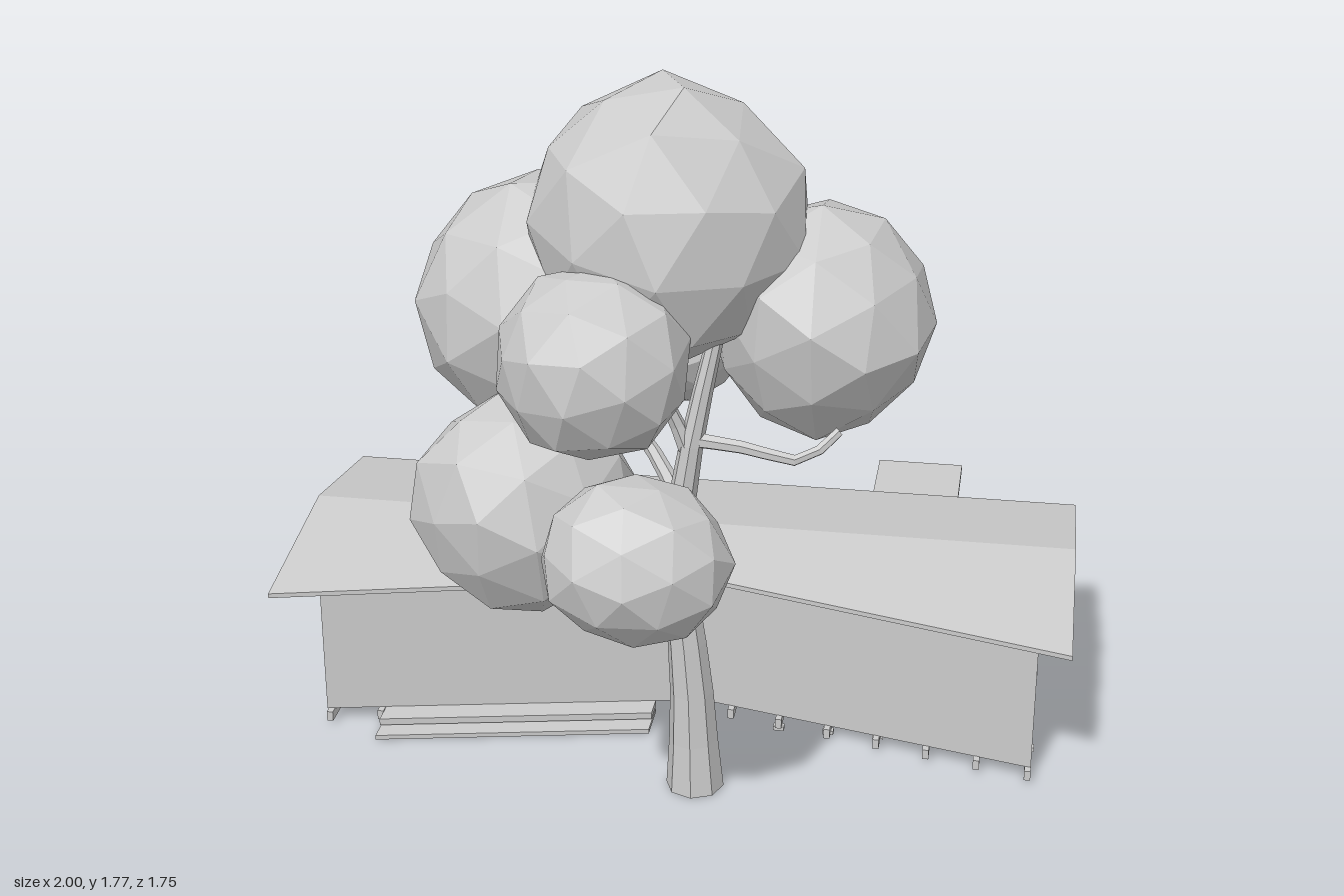
import * as THREE from 'three';

const grey = new THREE.MeshStandardMaterial({ color: 0xcccccc, flatShading: true });
const greyOpen = new THREE.MeshStandardMaterial({ color: 0xcccccc, flatShading: true, side: THREE.DoubleSide });

const FOLD = 0.06; // x where the front of the house bends inward
const wallFront = x => x < FOLD
  ? THREE.MathUtils.mapLinear(x, -0.9, FOLD, 0.165, -0.035)
  : THREE.MathUtils.mapLinear(x, FOLD, 0.92, -0.035, 0.165);

function add(parent, name, geometry, material = grey) {
  const mesh = new THREE.Mesh(geometry, material);
  mesh.name = name;
  parent.add(mesh);
  return mesh;
}

// Box given by its limits on each axis
function box(parent, name, [x0, x1], [y0, y1], [z0, z1]) {
  const m = add(parent, name, new THREE.BoxGeometry(x1 - x0, y1 - y0, z1 - z0));
  m.position.set((x0 + x1) / 2, (y0 + y1) / 2, (z0 + z1) / 2);
  return m;
}

// Upright prism over a plan outline of [x, z] points
function prism(parent, name, plan, y0, y1) {
  const shape = new THREE.Shape(plan.map(([x, z]) => new THREE.Vector2(x, -z)));
  const g = new THREE.ExtrudeGeometry(shape, { depth: y1 - y0, bevelEnabled: false });
  g.rotateX(-Math.PI / 2).translate(0, y0, 0);
  return add(parent, name, g);
}

// Gable roof lofted through three cross-sections along x
function roofGeometry() {
  const section = (x, frontZ, frontY) => [
    [frontZ, frontY], [-0.17, 0.485], [-0.58, 0.418], [-0.58, 0.406],
    [-0.36, 0.44], [Math.min(0.02, frontZ - 0.03), 0.44], [frontZ, frontY - 0.012],
  ].map(([z, y]) => [x, y, z]);
  const s = [section(-1, 0.27, 0.416), section(FOLD, 0.065, 0.448), section(1, 0.27, 0.416)];
  const n = s[0].length, pos = [];
  const tri = (...p) => p.forEach(v => pos.push(...v));
  for (let k = 0; k < 2; k++) {
    for (let i = 0; i < n; i++) {
      const j = (i + 1) % n;
      tri(s[k][i], s[k + 1][i], s[k + 1][j]);
      tri(s[k][i], s[k + 1][j], s[k][j]);
    }
  }
  for (let i = 1; i < n - 1; i++) {
    const a = (1 + i) % n, b = (2 + i) % n;
    tri(s[0][1], s[0][a], s[0][b]);
    tri(s[2][1], s[2][b], s[2][a]);
  }
  const g = new THREE.BufferGeometry();
  g.setAttribute('position', new THREE.Float32BufferAttribute(pos, 3));
  g.computeVertexNormals();
  return g;
}

// Tapering limb along a curve
function limb(parent, name, points, r0, r1, sides, steps) {
  const curve = new THREE.CatmullRomCurve3(points.map(p => new THREE.Vector3(...p)));
  const g = new THREE.TubeGeometry(curve, steps, 1, sides);
  const p = g.attributes.position, v = new THREE.Vector3();
  for (let i = 0; i < p.count; i++) {
    const t = Math.floor(i / (sides + 1)) / steps;
    const c = curve.getPointAt(t);
    v.fromBufferAttribute(p, i).sub(c).multiplyScalar(THREE.MathUtils.lerp(r0, r1, Math.pow(t, 0.7))).add(c);
    p.setXYZ(i, v.x, Math.max(v.y, 0), v.z);
  }
  g.computeVertexNormals();
  return add(parent, name, g, greyOpen);
}

// Faceted leaf ball, slightly uneven
function leafBall(parent, name, [x, y, z], [rx, ry, rz], seed) {
  const g = new THREE.IcosahedronGeometry(1, 1);
  const p = g.attributes.position, v = new THREE.Vector3();
  for (let i = 0; i < p.count; i++) {
    v.fromBufferAttribute(p, i);
    const h = Math.sin(Math.round(v.x * 50) * 1.7 + Math.round(v.y * 50) * 2.9 + Math.round(v.z * 50) * 4.3 + seed);
    v.multiplyScalar(1 + 0.035 * h);
    p.setXYZ(i, v.x, v.y, v.z);
  }
  g.rotateY(seed * 1.3).rotateX(seed * 0.7).scale(rx, ry, rz);
  g.computeVertexNormals();
  add(parent, name, g).position.set(x, y, z);
}

function createHouse() {
  const house = new THREE.Group();
  house.name = 'house';
  prism(house, 'walls', [[-0.9, 0.165], [FOLD, -0.035], [0.92, 0.165], [0.92, -0.495], [-0.9, -0.495]], 0.035, 0.4);
  add(house, 'roof', roofGeometry());

  // Short posts carrying the roof above the walls
  for (const z of [-0.36, 0.02]) {
    for (let i = 0; i < 7; i++) {
      const x = -0.88 + i * 0.297;
      if (z < wallFront(x) - 0.02) box(house, 'roofPost', [x - 0.006, x + 0.006], [0.395, 0.442], [z - 0.007, z + 0.007]);
    }
  }

  // Floor beams on small pads
  for (let i = 0; i < 15; i++) {
    const x = -0.888 + i * 0.1286, front = wallFront(x) + 0.022;
    box(house, 'floorBeam', [x - 0.008, x + 0.008], [0.01, 0.036], [-0.523, front]);
    for (const z of [-0.365, 0.02]) {
      if (z < front) box(house, 'beamPad', [x - 0.014, x + 0.014], [0, 0.011], [z - 0.01, z + 0.01]);
    }
  }

  // Front steps following the slanted wall
  const step = (name, depth, y0, y1) => {
    const a = -0.75, b = -0.06;
    prism(house, name, [[a, wallFront(a) + depth], [b, wallFront(b) + depth], [b, wallFront(b)], [a, wallFront(a)]], y0, y1);
  };
  step('lowerFrontStep', 0.108, 0, 0.012);
  step('upperFrontStep', 0.065, 0.018, 0.036);

  // Back door steps
  for (let i = 0; i < 3; i++) {
    box(house, 'backStep', [0.13, 0.27], [i * 0.012, i * 0.012 + 0.01], [-0.61 + i * 0.035, -0.565 + i * 0.035]);
  }
  for (const x of [0.13, 0.262]) box(house, 'backStepSide', [x, x + 0.008], [0, 0.022], [-0.585, -0.495]);

  // Raised window surround on the back wall
  box(house, 'backWindow', [-0.31, -0.19], [0.16, 0.32], [-0.52, -0.49]);

  // Rear annex with a flat roof
  box(house, 'annexWalls', [0.465, 0.66], [0, 0.362], [-0.862, -0.49]);
  box(house, 'annexRoof', [0.445, 0.68], [0.36, 0.38], [-0.875, -0.49]);
  return house;
}

function createTree() {
  const tree = new THREE.Group();
  tree.name = 'tree';
  limb(tree, 'trunk', [[0.095, 0, 0.315], [0.085, 0.3, 0.32], [0.055, 0.65, 0.33], [0.085, 0.92, 0.34], [0.14, 1.2, 0.32]], 0.072, 0.02, 8, 9);
  const base = add(tree, 'trunkBase', new THREE.CircleGeometry(0.07, 8), greyOpen);
  base.rotation.x = Math.PI / 2;
  base.position.set(0.095, 0.001, 0.315);
  // Branches
  limb(tree, 'rightBranch', [[0.08, 0.95, 0.34], [0.22, 0.94, 0.35], [0.35, 0.92, 0.35], [0.43, 0.98, 0.31]], 0.02, 0.012, 6, 6);
  limb(tree, 'backBranch', [[0.06, 0.78, 0.33], [-0.02, 0.83, 0.19], [-0.12, 0.88, 0.06], [-0.2, 0.96, 0.03]], 0.024, 0.013, 6, 5);
  limb(tree, 'frontBranch', [[0.06, 0.75, 0.33], [0.05, 0.77, 0.4], [0.03, 0.77, 0.52]], 0.026, 0.017, 6, 4);
  limb(tree, 'leftBranch', [[0.06, 0.74, 0.33], [-0.05, 0.78, 0.36], [-0.16, 0.8, 0.39]], 0.025, 0.015, 6, 4);
  limb(tree, 'upperBranch', [[0.08, 0.92, 0.34], [0.03, 1.05, 0.36], [-0.04, 1.15, 0.43]], 0.022, 0.013, 6, 4);
  // Leaf balls: centre, radii
  [
    ['topLeaves', [0.01, 1.44, 0.215], [0.335, 0.335, 0.32]],
    ['rightLeaves', [0.37, 1.2, 0.155], [0.265, 0.285, 0.27]],
    ['leftLeaves', [-0.3, 1.2, 0.125], [0.32, 0.305, 0.3]],
    ['frontLeaves', [-0.11, 1.19, 0.5], [0.222, 0.225, 0.225]],
    ['lowerLeftLeaves', [-0.3, 0.795, 0.41], [0.265, 0.262, 0.255]],
    ['lowerFrontLeaves', [0.015, 0.8, 0.69], [0.22, 0.193, 0.185]],
    ['backLeaves', [0.01, 1.09, 0.04], [0.165, 0.165, 0.17]],
  ].forEach(([name, c, r], i) => leafBall(tree, name, c, r, i + 1));
  return tree;
}

export function createModel() {
  const model = new THREE.Group();
  model.name = 'houseWithTree';
  model.add(createHouse(), createTree());
  return model;
}
